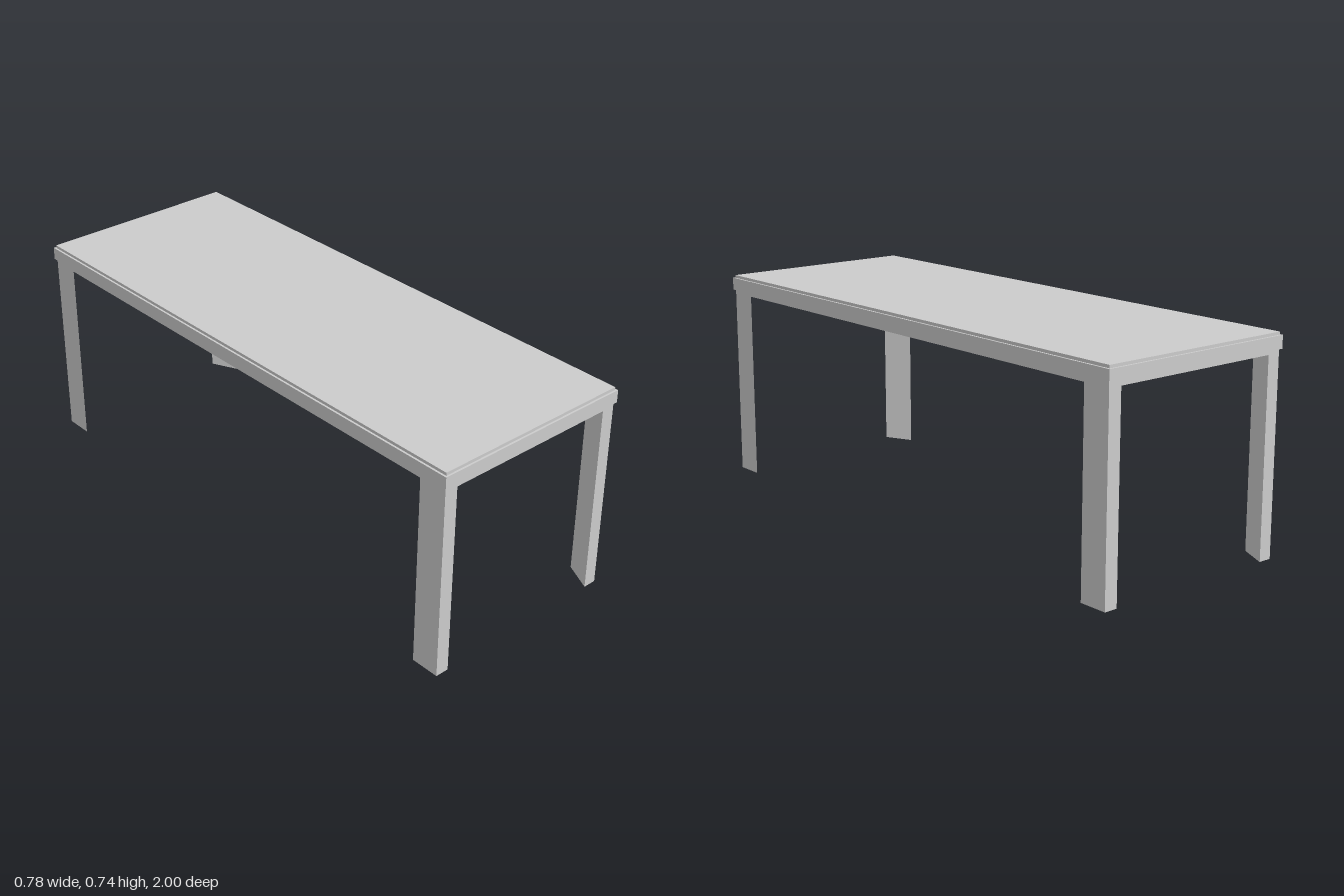
import * as THREE from 'three';

const material = new THREE.MeshStandardMaterial({ color: 0xcccccc, flatShading: true });

// Extrudes a plan outline of [x, z] points upwards from y0 to y1
function prism(name, outline, y0, y1, hole) {
  const toPoints = (list) => list.map(([x, z]) => new THREE.Vector2(x, -z));
  const shape = new THREE.Shape(toPoints(outline));
  if (hole) shape.holes.push(new THREE.Path(toPoints(hole)));
  const geometry = new THREE.ExtrudeGeometry(shape, { depth: y1 - y0, bevelEnabled: false });
  geometry.rotateX(-Math.PI / 2).translate(0, y0, 0);
  const mesh = new THREE.Mesh(geometry, material);
  mesh.name = name;
  return mesh;
}

const rectangle = (x, z) => [[-x, -z], [x, -z], [x, z], [-x, z]];

export function createModel() {
  const table = new THREE.Group();
  table.name = 'table';
  const halfW = 0.364, halfL = 0.986, lip = 0.007;
  const underside = 0.67, top = 0.737;

  // Table top with a slim band standing proud around its edge
  table.add(prism('tableTop', rectangle(halfW, halfL), underside, top));
  table.add(prism('edgeBand', rectangle(halfW + lip, halfL + lip), 0.683, 0.727,
    rectangle(halfW, halfL)));

  // Triangular legs: square outer corner, diagonal inner face
  const legW = 0.048, legL = 0.102;
  for (const [sx, side] of [[1, 'Left'], [-1, 'Right']]) {
    for (const [sz, end] of [[1, 'front'], [-1, 'back']]) {
      table.add(prism(`${end}${side}Leg`, [
        [sx * halfW, sz * halfL],
        [sx * (halfW - legW), sz * halfL],
        [sx * halfW, sz * (halfL - legL)],
      ], 0, underside));
    }
  }

  // The whole table is turned slightly
  table.rotation.y = -0.019;
  const model = new THREE.Group();
  model.add(table);
  return model;
}
